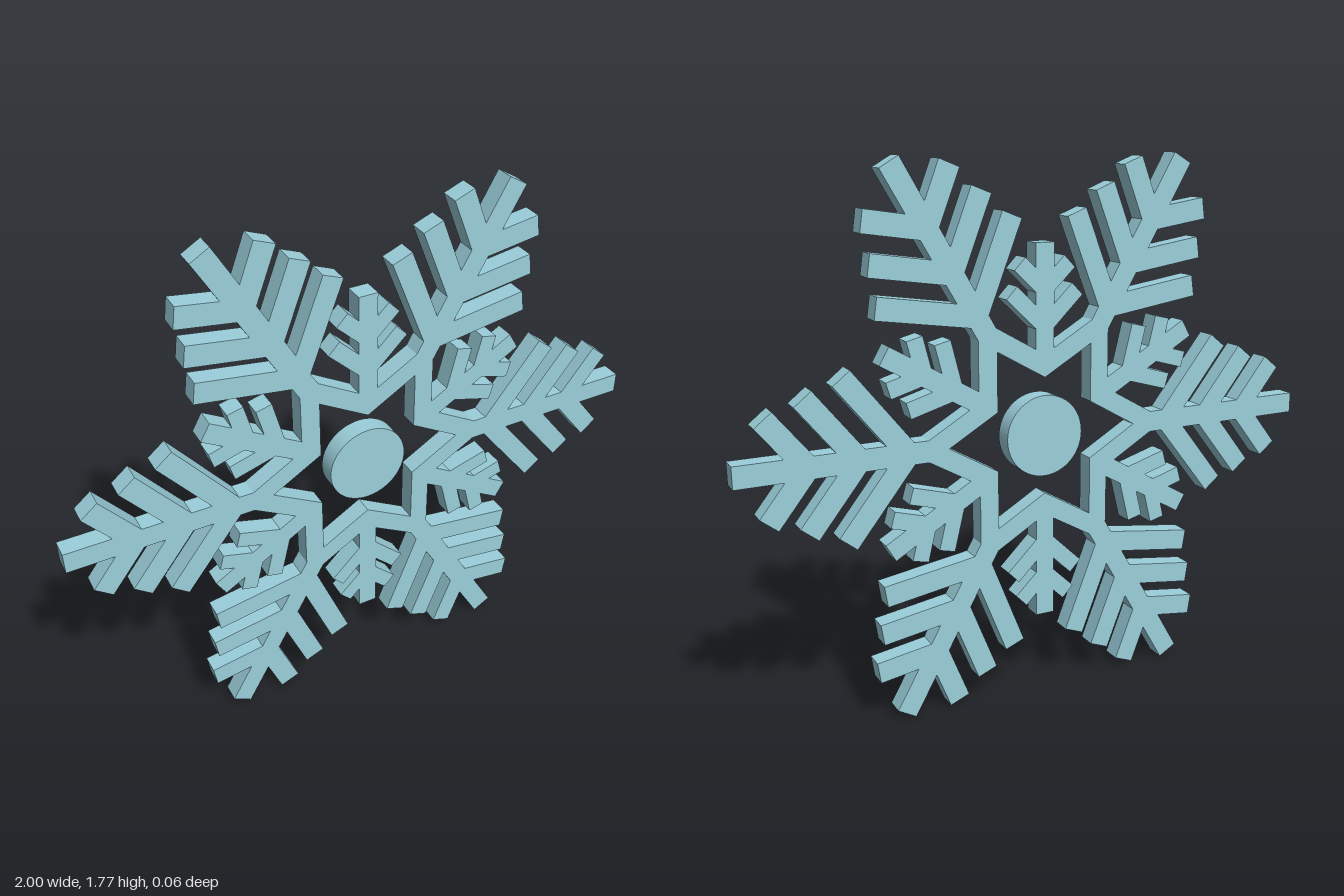
import * as THREE from 'three';

const DEPTH = 0.064;
const CENTRE_Y = 0.885;
const STAR_R = 0.334; // tip radius of the six-pointed opening

const turn = (points, angle) =>
  points.map(([x, y]) => new THREE.Vector2(x, y).rotateAround(new THREE.Vector2(), angle));

// Upper edge of a branch lying along +x, from its tip inwards.
// Barbs are [x, y] tip centres, outermost first; w and bw are half widths.
function branchEdge({ tip, root, w, bw, slant, barbs }) {
  const s = Math.sin(slant), c = Math.cos(slant);
  const points = [[tip, w]];
  for (const [x, y] of barbs) {
    const joint = x + (w - y) * c / s;
    points.push(
      [joint + bw / s, w],
      [x + bw * s, y - bw * c],
      [x - bw * s, y + bw * c],
      [joint - bw / s, w],
    );
  }
  points.push([root, w]);
  return points;
}

const lowerEdge = (edge) => edge.map(([x, y]) => [x, -y]).reverse();

export function createModel() {
  const ice = new THREE.MeshStandardMaterial({ color: 0x9bcfdb });
  ice.name = 'ice blue';

  const longEdge = branchEdge({
    tip: 1.0, root: 0.401, w: 0.035, bw: 0.035,
    slant: THREE.MathUtils.degToRad(51.5),
    barbs: [[0.903, 0.158], [0.785, 0.207], [0.668, 0.256]],
  });
  const shortEdge = branchEdge({
    tip: 0.618, root: 0.285, w: 0.032, bw: 0.027,
    slant: THREE.MathUtils.degToRad(46),
    barbs: [[0.556, 0.087], [0.468, 0.115]],
  });

  // Outline: six long branches with a short one between each pair
  const outline = [];
  const star = [];
  for (let i = 0; i < 6; i++) {
    const a = i * Math.PI / 3;
    outline.push(
      ...turn(longEdge, a),
      ...turn(lowerEdge(shortEdge), a + Math.PI / 6),
      ...turn(shortEdge, a + Math.PI / 6),
      ...turn(lowerEdge(longEdge), a + Math.PI / 3),
    );
    star.push(
      ...turn([[STAR_R, 0]], a),
      ...turn([[STAR_R / Math.sqrt(3), 0]], a + Math.PI / 6),
    );
  }
  const shape = new THREE.Shape(outline);
  shape.holes.push(new THREE.Path(star.reverse()));

  const crystalGeo = new THREE.ExtrudeGeometry(shape, { depth: DEPTH, bevelEnabled: false });
  crystalGeo.translate(0, CENTRE_Y, -DEPTH / 2);
  const crystal = new THREE.Mesh(crystalGeo, ice);
  crystal.name = 'snowflakeBranches';

  // Free-standing disc in the star opening
  const discGeo = new THREE.CylinderGeometry(0.134, 0.134, DEPTH, 64);
  discGeo.rotateX(Math.PI / 2);
  const disc = new THREE.Mesh(discGeo, ice);
  disc.position.y = CENTRE_Y;
  disc.name = 'centreDisc';

  const group = new THREE.Group();
  group.name = 'snowflake';
  group.add(crystal, disc);
  return group;
}
